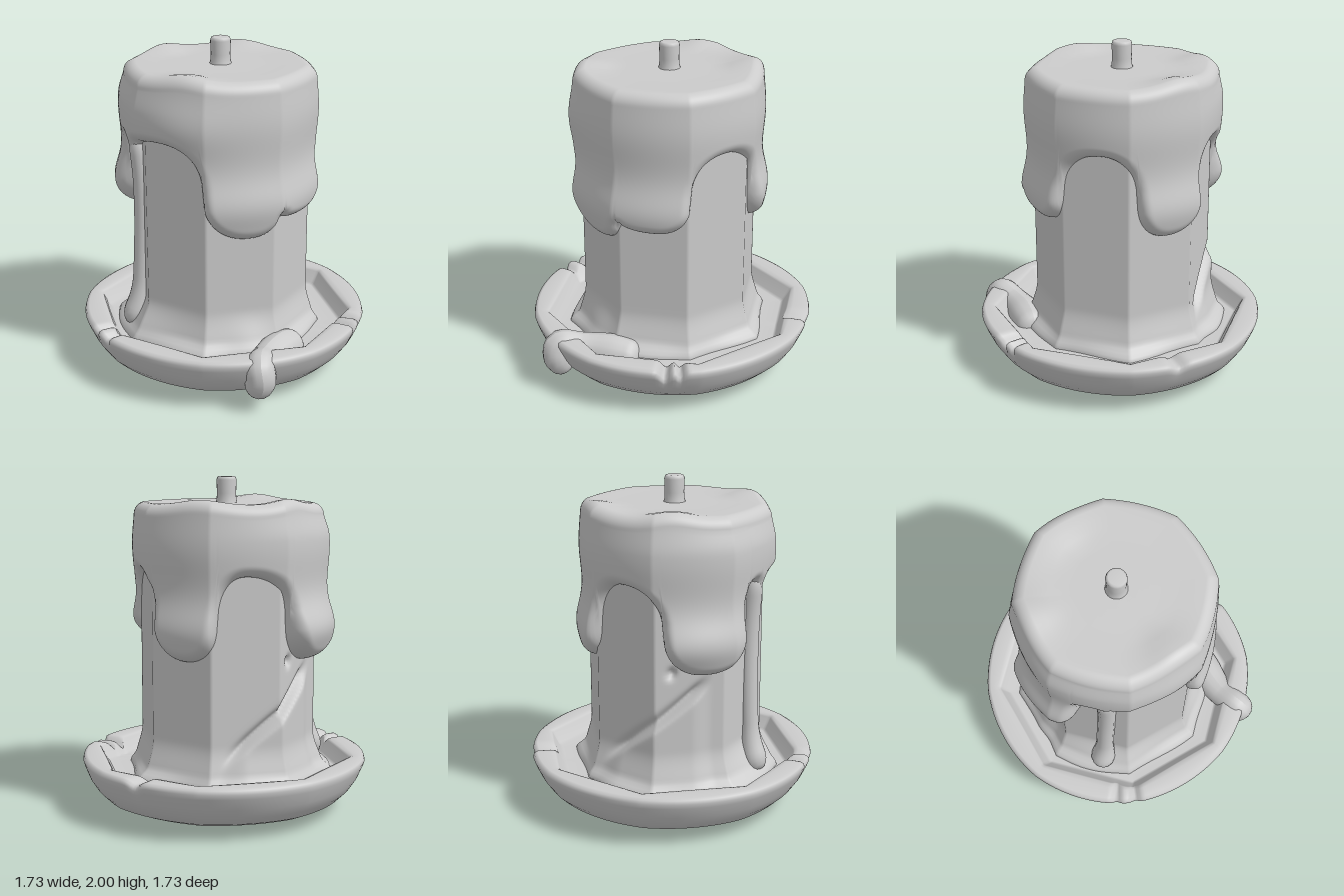
import * as THREE from 'three';

const COLS = 320;
const material = new THREE.MeshStandardMaterial({ color: 0xcccccc, side: THREE.DoubleSide });
const { smoothstep, lerp, clamp } = THREE.MathUtils;

// Signed difference between two angles in degrees
const angleGap = (a, b) => ((a - b + 540) % 360 + 360) % 360 - 180;
const bump = (x, width) => Math.exp(-((x / width) ** 2));
const angBump = (a, centre, width) => bump(angleGap(a, centre), width);

// Radius multiplier of an octagon with corners on the axes
function octagon(deg) {
  const a = ((deg % 45) + 45) % 45 - 22.5;
  return Math.cos(Math.PI / 8) / Math.cos(a * Math.PI / 180);
}

// Closed surface around y; at(deg, row, col) returns [radius, y]. Angle 0 is +z, 90 is +x.
function ringSurface(name, rows, at, cx = 0, cz = 0) {
  const pos = [], index = [];
  for (let j = 0; j < rows; j++) {
    for (let i = 0; i < COLS; i++) {
      const deg = i * 360 / COLS, t = deg * Math.PI / 180;
      const [r, y] = at(deg, j, i);
      pos.push(cx + r * Math.sin(t), y, cz + r * Math.cos(t));
      if (j < rows - 1) {
        const a = j * COLS + i, b = j * COLS + (i + 1) % COLS;
        index.push(a, b, b + COLS, a, b + COLS, a + COLS);
      }
    }
  }
  const g = new THREE.BufferGeometry();
  g.setAttribute('position', new THREE.Float32BufferAttribute(pos, 3));
  g.setIndex(index);
  g.computeVertexNormals();
  const mesh = new THREE.Mesh(g, material);
  mesh.name = name;
  return mesh;
}

// Wax run: a tube whose radius swells and closes at both ends
function waxRun(name, points, radiusAt) {
  const curve = new THREE.CatmullRomCurve3(points.map(p => new THREE.Vector3(...p)));
  const seg = 48, sides = 16;
  const g = new THREE.TubeGeometry(curve, seg, 1, sides);
  const p = g.attributes.position, v = new THREE.Vector3();
  for (let i = 0; i < p.count; i++) {
    const u = Math.floor(i / (sides + 1)) / seg;
    const c = curve.getPointAt(u);
    const cap = Math.sqrt(Math.max(0, 1 - Math.max(0, 1 - Math.min(u, 1 - u) / 0.1) ** 2));
    v.fromBufferAttribute(p, i).sub(c).multiplyScalar(radiusAt(u) * cap).add(c);
    p.setXYZ(i, v.x, v.y, v.z);
  }
  g.computeVertexNormals();
  const mesh = new THREE.Mesh(g, material);
  mesh.name = name;
  return mesh;
}

// Dish: [radius, height, how octagonal, how much a notch affects it]
const dishProfile = [
  [0, 0, 1, 0], [0.37, 0, 1, 0], [0.38, 0.003, 1, 0], [0.38, 0.02, 1, 0], [0.39, 0.025, 1, 0],
  [0.54, 0.042, 0.5, 0], [0.68, 0.065, 0.25, 0], [0.735, 0.09, 0.15, 0], [0.785, 0.14, 0.1, 0.1],
  [0.825, 0.2, 0.1, 0.3], [0.856, 0.27, 0.1, 0.8], [0.866, 0.3, 0.1, 1], [0.86, 0.322, 0.1, 1],
  [0.843, 0.332, 0.15, 1], [0.8, 0.332, 0.7, 1], [0.785, 0.326, 1, 1], [0.775, 0.315, 1, 0.8],
  [0.735, 0.245, 1, 0.2], [0.715, 0.233, 1, 0], [0.6, 0.235, 1, 0], [0.4, 0.235, 1, 0], [0, 0.235, 1, 0],
];
// Notches in the rim: [angle, width, strength]
const notches = [[31, 2.2, 1], [37, 1.6, 0.8], [109, 3, 0.5], [262, 1.6, 0.5], [270, 2, 0.6]];
function dishAt(deg, j) {
  const [r, y, oct, cut] = dishProfile[j];
  const notch = notches.reduce((s, [a, w, k]) => Math.max(s, k * angBump(deg, a, w)), 0) * cut;
  const wobble = 1 + 0.006 * cut * Math.sin(deg * Math.PI / 60 + 1);
  return [r * lerp(1, octagon(deg), oct) * wobble - 0.035 * notch, y - 0.065 * notch];
}

// Candle column, flared at the base, with a raised slanting fold and a pit at the back
function columnRadius(deg, y) {
  let r = 0.53 * octagon(deg);
  r += (0.05 + 0.05 * angBump(deg, 255, 28) + 0.03 * angBump(deg, 342, 14)) * (1 - smoothstep(y, 0.24, 0.48));
  // Uneven pooled wax around the foot
  r += (0.04 + 0.015 * Math.sin(deg * Math.PI / 36)) * (1 - smoothstep(y, 0.24, 0.31));
  const foldY = lerp(0.45, 0.86, (deg - 154) / 59);
  const zone = smoothstep(deg, 140, 158) * (1 - smoothstep(deg, 203, 218));
  r += zone * (0.03 * (1 - smoothstep(y - foldY, -0.03, 0.02)) - 0.04 * bump(y - foldY - 0.025, 0.035));
  r -= 0.04 * angBump(deg, 190, 3) * bump(y - 0.95, 0.028);
  return r;
}

// Lower edge of the melted cap as [angle, height]: crests and tips alternate with the
// upright turning points between them, joined by quarter superellipses
const dripKeys = [
  [25, 1.01], [47, 1.22], [72, 1.46], [95, 1.2], [117, 0.96], [139, 1.18], [157, 1.45], [185, 1.2],
  [212, 0.94], [238, 1.2], [247, 1.44], [252, 1.38], [255, 1.32], [259, 1.38], [284, 1.47],
  [313, 1.2], [343, 0.93], [362, 1.07], [385, 1.01],
];
const edge = Array.from({ length: COLS }, (_, i) => {
  let deg = i * 360 / COLS;
  if (deg < 25) deg += 360;
  const k = dripKeys.findIndex(([a]) => a > deg);
  const [tip, turn] = k % 2 ? [dripKeys[k - 1], dripKeys[k]] : [dripKeys[k], dripKeys[k - 1]];
  const u = (deg - tip[0]) / (turn[0] - tip[0]);
  return lerp(turn[1], tip[1], (1 - u ** 2.3) ** (1 / 2.3));
});

// Distance along the wall from a point to the drip edge, segment by segment
const STEP = 0.55 * 2 * Math.PI / COLS;
function edgeDistance(col, y) {
  let best = 1;
  for (let k = -16; k < 16; k++) {
    const y0 = edge[(col + k + COLS) % COLS], dy = edge[(col + k + 1 + COLS) % COLS] - y0;
    const t = clamp((-k * STEP * STEP + (y - y0) * dy) / (STEP * STEP + dy * dy), 0, 1);
    best = Math.min(best, Math.hypot((k + t) * STEP, y0 + t * dy - y));
  }
  return best;
}

// Melted cap: wall rising from the drip edge, rolled shoulder, then the sunken lid
const WALL = 48, SHOULDER = 10, LID = 8;
function capAt(deg, j, col) {
  const topY = 1.85 + 0.03 * (angBump(deg, 127, 20) + angBump(deg, 302, 18) + angBump(deg, 190, 16));
  const round = 0.075, wallTop = topY - round;
  const wallRadius = (y, d) => {
    const lip = Math.sqrt(1 - (1 - Math.min(d / 0.07, 1)) ** 2);
    const swell = (0.045 + 0.03 * angBump(deg, 200, 25)) * bump(y - 1.13, 0.15) + 0.02 * bump(y - 1.6, 0.18);
    const side = 0.035 * angBump(deg, 225, 55) * (1 - smoothstep(y, 1.65, 1.85))
      + 0.02 * angBump(deg, 300, 25) * bump(y - 1.58, 0.15);
    return 0.53 * lerp(octagon(deg), 0.985, 0.5) - 0.025 + (0.06 + swell + side) * lip;
  };
  if (j < WALL) {
    const y = lerp(edge[col], wallTop, (j / (WALL - 1)) ** 1.5);
    return [wallRadius(y, edgeDistance(col, y)), y];
  }
  const rTop = wallRadius(wallTop, 1);
  if (j < WALL + SHOULDER) {
    const a = (j - WALL + 1) / SHOULDER * Math.PI / 2;
    return [rTop - round * (1 - Math.cos(a)), wallTop + round * Math.sin(a)];
  }
  const u = (j - WALL - SHOULDER + 1) / LID;
  return [(rTop - round) * (1 - u), lerp(topY, 1.845, smoothstep(u, 0, 0.4))];
}

export function createModel() {
  const group = new THREE.Group();
  const cx = -0.02, cz = -0.01;

  group.add(ringSurface('dish', dishProfile.length, dishAt));

  const columnRows = 76;
  group.add(ringSurface('candleColumn', columnRows, (deg, j) => {
    const y = lerp(0.22, 1.6, j / (columnRows - 1));
    return [columnRadius(deg, y), y];
  }, cx, cz));

  group.add(ringSurface('meltedCap', WALL + SHOULDER + LID, capAt, cx, cz));

  // Wick with a softly rounded tip
  const wickProfile = [[0.068, 1.83], [0.06, 1.86], [0.057, 1.9], [0.06, 1.98], [0.055, 1.996], [0.045, 2], [0, 2]];
  const wick = new THREE.Mesh(
    new THREE.LatheGeometry(wickProfile.map(p => new THREE.Vector2(...p)), 20), material);
  wick.name = 'wick';
  wick.position.set(cx, 0, cz + 0.003);
  group.add(wick);

  // Long run down the side of the column
  const onWall = (deg, r, y) => [cx + r * Math.sin(deg * Math.PI / 180), y, cz + r * Math.cos(deg * Math.PI / 180)];
  group.add(waxRun('sideRun',
    [onWall(255, 0.52, 1.48), onWall(256, 0.495, 1.2), onWall(255, 0.495, 0.8), onWall(254, 0.52, 0.45), onWall(253, 0.57, 0.25)],
    u => 0.055 + 0.03 * smoothstep(u, 0.75, 1)));

  // Spill crossing the dish and hanging over the rim
  group.add(waxRun('rimSpill',
    [[0.14, 0.22, 0.54], [-0.06, 0.23, 0.6], [-0.2, 0.25, 0.67], [-0.3, 0.275, 0.755], [-0.305, 0.2, 0.775], [-0.29, 0.11, 0.7]],
    u => 0.085 + 0.025 * bump(u - 0.25, 0.2)));

  return group;
}
